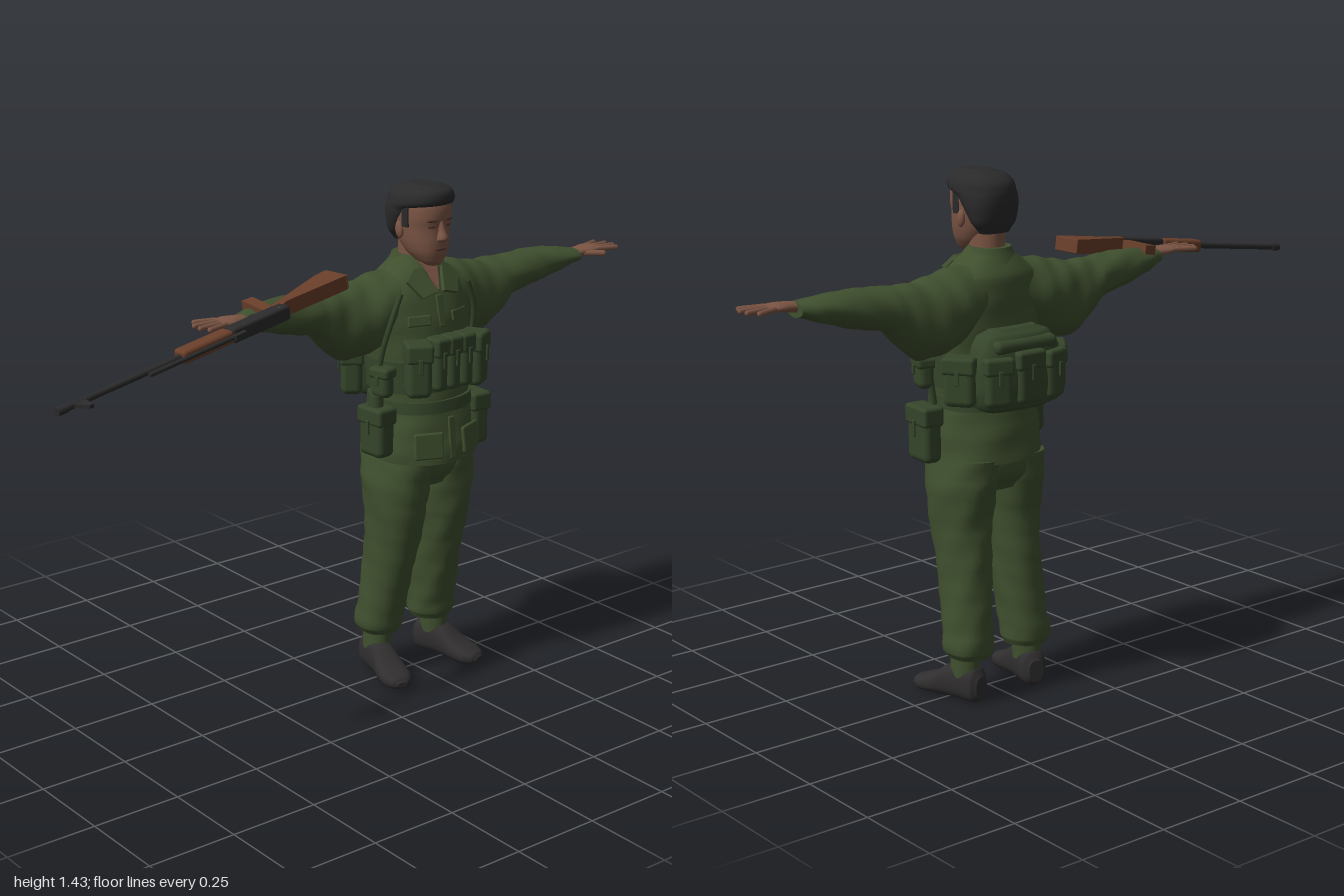
import * as THREE from 'three';
import { RoundedBoxGeometry } from 'three/addons/geometries/RoundedBoxGeometry.js';

const paint = (name, color) => Object.assign(new THREE.MeshStandardMaterial({ color }), { name });

// Smooth tube of cross-sections along an axis. Row: [t, aMin, aMax, bMin, bMax], t rising.
// Axis y: a = x, b = z. Axis x: a = z, b = y. Axis z: a = y, b = x.
function loft(axis, rows, { n = 24, sub = 4, p = 2, w = 0 } = {}) {
  const pos = [], idx = [], rings = [];
  const put = (t, a, b) => {
    pos.push(...(axis === 'y' ? [a, t, b] : axis === 'x' ? [t, b, a] : [b, a, t]));
    return pos.length / 3 - 1;
  };
  const at = (i) => rows[Math.min(Math.max(i, 0), rows.length - 1)];
  const spline = (i, f) => rows[0].map((_, k) => {
    const [q0, q1, q2, q3] = [at(i - 1)[k], at(i)[k], at(i + 1)[k], at(i + 2)[k]];
    if (k === 0) return q1 + (q2 - q1) * f;
    const m1 = (q2 - q0) / 2, m2 = (q3 - q1) / 2;
    return q1 + m1 * f + (3 * (q2 - q1) - 2 * m1 - m2) * f * f + (2 * (q1 - q2) + m1 + m2) * f * f * f;
  });
  const ring = ([t, a0, a1, b0, b1]) => Array.from({ length: n }, (_, j) => {
    const th = (j / n) * Math.PI * 2, c = Math.cos(th), s = Math.sin(th);
    const fold = 1 + w * Math.sin(t * 62 + 3 * th) * Math.sin(t * 27 - 2 * th + 1);
    const r = (v) => Math.sign(v) * Math.abs(v) ** (2 / p) * fold;
    return put(t, (a0 + a1) / 2 + ((a1 - a0) / 2) * r(c), (b0 + b1) / 2 + ((b1 - b0) / 2) * r(s));
  });
  const all = [];
  for (let i = 0; i < rows.length - 1; i++) for (let k = 0; k < sub; k++) all.push(spline(i, k / sub));
  all.push(at(rows.length - 1));
  all.forEach((r) => rings.push(ring(r)));
  for (let i = 0; i < rings.length - 1; i++) for (let j = 0; j < n; j++) {
    const k = (j + 1) % n, A = rings[i], B = rings[i + 1];
    idx.push(A[j], B[j], A[k], A[k], B[j], B[k]);
  }
  [all[0], all[all.length - 1]].forEach((r, end) => {
    const cap = ring(r), c = put(r[0], (r[1] + r[2]) / 2, (r[3] + r[4]) / 2);
    cap.forEach((v, j) => idx.push(c, ...(end ? [cap[(j + 1) % n], v] : [v, cap[(j + 1) % n]])));
  });
  const g = new THREE.BufferGeometry();
  g.setAttribute('position', new THREE.Float32BufferAttribute(pos, 3));
  g.setIndex(idx);
  g.computeVertexNormals();
  return g;
}

// Mirrored copy across x with corrected winding
function flip(geo) {
  const g = geo.clone().scale(-1, 1, 1);
  const a = g.index ? Array.from(g.index.array) : Array.from({ length: g.attributes.position.count }, (_, i) => i);
  for (let i = 0; i < a.length; i += 3) [a[i], a[i + 1]] = [a[i + 1], a[i]];
  g.setIndex(a);
  return g;
}

const box = (w, h, d, r = 0.008) => new RoundedBoxGeometry(w, h, d, 2, Math.min(r, w / 2.1, h / 2.1, d / 2.1));
const ball = (x, y, z) => new THREE.SphereGeometry(1, 16, 12).scale(x, y, z);
const place = (g, x, y, z, rx = 0, ry = 0, rz = 0) => g.rotateX(rx).rotateZ(rz).rotateY(ry).translate(x, y, z);

function plate(points, depth) {
  const s = new THREE.Shape(points.map(([x, y]) => new THREE.Vector2(x, y)));
  return new THREE.ExtrudeGeometry(s, { depth, bevelEnabled: false }).translate(0, 0, -depth / 2);
}

export function createModel() {
  const root = new THREE.Group(), body = new THREE.Group();
  root.name = 'fieldSoldier';
  body.name = 'body';
  body.position.x = 0.255;
  root.add(body);
  const cloth = paint('green cloth', 0x3f4f2e), web = paint('green webbing', 0x35452a);
  const skin = paint('skin', 0x7b5544), dark = paint('brow brown', 0x4a3129), hair = paint('black hair', 0x2a2a2b);
  const boot = paint('boot black', 0x302e2f), metal = paint('gun metal', 0x2b2b2c), wood = paint('wood', 0x6a3f2a);

  const add = (name, geo, mat, parent = body) => {
    const m = new THREE.Mesh(geo, mat);
    m.name = name;
    parent.add(m);
  };
  const pair = (name, geo, mat) => {
    add('left ' + name, geo, mat);
    add('right ' + name, flip(geo), mat);
  };

  // Jacket
  add('jacket', loft('y', [
    [0.67, -0.152, 0.152, -0.14, 0.158], [0.75, -0.147, 0.147, -0.132, 0.145], [0.83, -0.138, 0.138, -0.12, 0.128],
    [0.92, -0.145, 0.145, -0.115, 0.115], [1.02, -0.153, 0.153, -0.12, 0.105], [1.1, -0.158, 0.158, -0.12, 0.09],
    [1.16, -0.14, 0.14, -0.118, 0.068], [1.2, -0.088, 0.088, -0.1, 0.05], [1.235, -0.05, 0.05, -0.08, 0.03],
  ], { n: 40, p: 2.3, w: 0.02 }), cloth);
  add('waist belt', loft('y', [[0.812, -0.146, 0.146, -0.128, 0.138], [0.845, -0.144, 0.144, -0.126, 0.134]], { n: 40, p: 2.3, sub: 1 }), web);
  add('chest rig band', loft('y', [[0.87, -0.15, 0.15, -0.123, 0.126], [0.96, -0.156, 0.156, -0.125, 0.118]], { n: 40, p: 2.3, sub: 1 }), web);
  add('button placket', place(box(0.022, 0.12, 0.008), 0, 0.74, 0.149, -0.1), cloth);
  add('upper placket', place(box(0.022, 0.09, 0.008), 0, 1.09, 0.092, -0.2), cloth);
  pair('skirt pocket', place(box(0.085, 0.075, 0.012), 0.075, 0.725, 0.138, -0.1, 0.38), cloth);
  pair('chest pocket flap', place(box(0.07, 0.03, 0.01), 0.07, 1.07, 0.086, -0.2, 0.3), cloth);

  // Collar and open neck
  pair('collar flap', place(plate([[-0.045, -0.025], [0.005, -0.04], [0.04, 0.012], [0.012, 0.045], [-0.012, 0.045]], 0.012), 0.052, 1.165, 0.068, -0.55, 0.2), cloth);
  add('open neck', place(plate([[-0.034, 0.05], [0, -0.045], [0.034, 0.05]], 0.008), 0, 1.185, 0.057, -0.6), skin);
  add('collar stand', loft('y', [[1.17, -0.1, 0.1, -0.112, 0.03], [1.2, -0.075, 0.075, -0.1, 0.025], [1.235, -0.056, 0.056, -0.086, 0.01]]), cloth);

  // Sleeves with loose cloth under the armpit
  pair('sleeve', loft('x', [
    [0.05, -0.11, 0.06, 1.04, 1.2], [0.13, -0.125, 0.062, 0.99, 1.192], [0.19, -0.126, 0.045, 0.968, 1.18],
    [0.245, -0.118, 0.032, 0.965, 1.172], [0.295, -0.112, 0.028, 0.995, 1.17], [0.345, -0.105, 0.025, 1.05, 1.17],
    [0.45, -0.09, 0.022, 1.074, 1.175], [0.54, -0.073, 0.026, 1.1, 1.167], [0.595, -0.05, 0.026, 1.118, 1.158],
  ], { n: 28, w: 0.04 }), cloth);

  // Hands
  pair('palm', loft('x', [[0.57, -0.03, 0.015, 1.126, 1.156], [0.61, -0.031, 0.02, 1.132, 1.16], [0.645, -0.04, 0.03, 1.137, 1.161], [0.675, -0.036, 0.026, 1.141, 1.158]], { n: 16 }), skin);
  [[-0.032, 0.055, 0.32], [-0.014, 0.07, 0.1], [0.004, 0.072, -0.06], [0.02, 0.062, -0.25]].forEach(([z, len, yaw], i) =>
    pair('finger ' + (i + 1), place(new THREE.CapsuleGeometry(0.0075, len, 3, 8).rotateZ(Math.PI / 2).translate(len / 2, 0, 0), 0.665, 1.15, z, 0, yaw, -0.02), skin));
  pair('thumb', place(new THREE.CapsuleGeometry(0.0085, 0.05, 3, 8).rotateZ(Math.PI / 2).translate(0.025, 0, 0), 0.622, 1.143, 0.018, 0, -0.7), skin);

  // Trousers, ankles and boots
  add('trouser seat', loft('y', [[0.585, -0.1, 0.1, -0.09, 0.085], [0.63, -0.148, 0.148, -0.122, 0.115], [0.7, -0.142, 0.142, -0.125, 0.125]], { p: 2.3 }), cloth);
  pair('trouser leg', loft('y', [
    [0.125, 0.04, 0.152, -0.108, 0.008], [0.145, 0.03, 0.165, -0.118, 0.018], [0.2, 0.03, 0.16, -0.112, 0.03],
    [0.3, 0.024, 0.152, -0.105, 0.052], [0.4, 0.017, 0.15, -0.1, 0.077], [0.5, 0.008, 0.155, -0.097, 0.1],
    [0.6, 0, 0.16, -0.117, 0.115], [0.68, 0, 0.145, -0.13, 0.122],
  ], { n: 28, p: 2.2, w: 0.035 }), cloth);
  pair('ankle', loft('y', [[0.07, 0.07, 0.145, -0.09, 0], [0.14, 0.068, 0.143, -0.09, 0]]), cloth);
  pair('boot', place(loft('z', [
    [-0.105, 0.012, 0.075, -0.022, 0.022], [-0.09, 0, 0.098, -0.036, 0.036], [-0.045, 0, 0.108, -0.038, 0.038],
    [0, 0, 0.095, -0.038, 0.038], [0.045, 0, 0.064, -0.045, 0.045], [0.09, 0, 0.046, -0.044, 0.044],
    [0.115, 0.003, 0.036, -0.03, 0.03], [0.124, 0.01, 0.025, -0.015, 0.015],
  ], { p: 2.5 }), 0.118, 0, 0, 0, 0.22), boot);

  // Head
  add('neck', loft('y', [[1.16, -0.05, 0.05, -0.075, 0.05], [1.21, -0.045, 0.045, -0.07, 0.035], [1.28, -0.046, 0.046, -0.07, 0.04]]), skin);
  add('head', loft('y', [
    [1.213, -0.018, 0.018, 0.035, 0.074], [1.225, -0.036, 0.036, 0, 0.083], [1.25, -0.053, 0.053, -0.035, 0.09],
    [1.28, -0.063, 0.063, -0.06, 0.092], [1.32, -0.069, 0.069, -0.078, 0.09], [1.35, -0.071, 0.071, -0.083, 0.095],
    [1.39, -0.068, 0.068, -0.08, 0.088], [1.42, -0.04, 0.04, -0.04, 0.05],
  ], { n: 32, p: 2.2 }), skin);
  add('nose', loft('y', [[1.283, -0.014, 0.014, 0.08, 0.1], [1.292, -0.017, 0.017, 0.08, 0.113], [1.315, -0.01, 0.01, 0.08, 0.103], [1.34, -0.008, 0.008, 0.08, 0.095]], { n: 14 }), skin);
  add('mouth', place(ball(0.02, 0.004, 0.005), 0, 1.262, 0.09), dark);
  pair('eye', place(ball(0.012, 0.004, 0.004), 0.028, 1.325, 0.083, 0, 0.3), dark);
  pair('eyebrow', place(ball(0.017, 0.004, 0.005), 0.029, 1.342, 0.086, 0, 0.3), dark);
  pair('ear', place(ball(0.009, 0.024, 0.014), 0.071, 1.31, -0.002, -0.15), skin);

  // Hair
  add('hair', loft('y', [
    [1.272, -0.045, 0.045, -0.075, -0.025], [1.3, -0.066, 0.066, -0.086, -0.01], [1.34, -0.077, 0.077, -0.094, 0.02],
    [1.368, -0.08, 0.08, -0.096, 0.05], [1.384, -0.081, 0.081, -0.095, 0.096], [1.405, -0.077, 0.077, -0.088, 0.103],
    [1.423, -0.063, 0.063, -0.065, 0.096], [1.433, -0.035, 0.035, -0.03, 0.07],
  ], { n: 32, p: 2.2 }), hair);
  pair('sideburn', place(box(0.008, 0.06, 0.026, 0.003), 0.069, 1.35, 0.02), hair);

  // Pouches: soft box with a flap over the top
  const pouch = (name, x, y, z, w, h, d, yaw = 0) => {
    add(name, place(box(w, h, d, 0.018), x, y, z, 0, yaw), web);
    add(name + ' flap', place(box(w + 0.006, h * 0.36, d + 0.008, 0.01), x, y + h * 0.34, z, 0, yaw), web);
    const f = d / 2 + 0.006;
    add(name + ' buckle', place(box(0.012, h * 0.3, 0.006, 0.002), x + Math.sin(yaw) * f, y + h * 0.12, z + Math.cos(yaw) * f, 0, yaw), web);
  };
  [-0.046, 0, 0.046].forEach((x) => pouch('chest pouch', x, 0.955, 0.138, 0.044, 0.15, 0.05));
  for (const s of [-1, 1]) {
    pouch('rig pouch', s * 0.1, 0.945, 0.118, 0.07, 0.15, 0.07, s * 0.5);
    pouch('side pouch', s * 0.165, 0.905, 0.045, 0.06, 0.085, 0.045, s * 1.3);
    pouch('rear side pouch', s * 0.155, 0.905, -0.105, 0.085, 0.13, 0.06, s * 2.2);
    pouch('pack pocket', s * 0.087, 0.905, -0.165, 0.075, 0.13, 0.07, Math.PI - s * 0.3);
  }
  pouch('left hip pouch', 0.172, 0.742, 0.035, 0.098, 0.15, 0.055, 1.5);
  pouch('right hip canteen', -0.176, 0.765, 0.035, 0.09, 0.14, 0.06, -1.5);
  add('canteen cap', place(new THREE.CylinderGeometry(0.018, 0.022, 0.04, 14), -0.18, 0.85, 0.035), web);
  pair('side strap', new THREE.TubeGeometry(new THREE.CatmullRomCurve3([[0.15, 0.82, 0.02], [0.162, 0.95, 0.03], [0.15, 1.07, 0.06], [0.12, 1.15, 0.066]].map((v) => new THREE.Vector3(...v))), 20, 0.008, 6), web);

  // Back pack
  add('back pack', loft('y', [
    [0.82, -0.1, 0.1, -0.17, -0.08], [0.835, -0.128, 0.128, -0.194, -0.07], [0.9, -0.138, 0.138, -0.2, -0.07],
    [0.98, -0.128, 0.128, -0.192, -0.07], [1.02, -0.105, 0.105, -0.175, -0.08], [1.035, -0.07, 0.07, -0.15, -0.09],
  ], { n: 32, p: 3, w: 0.015 }), web);
  pouch('pack centre pocket', 0, 0.91, -0.18, 0.085, 0.14, 0.06, Math.PI);
  add('pack lid', place(box(0.2, 0.035, 0.1, 0.016), 0, 1.0, -0.145, -0.15), web);

  // Rifle: local x runs from muzzle to butt, local y is its upper side, turned to the front
  const rifle = new THREE.Group();
  rifle.name = 'rifle';
  const X = new THREE.Vector3(0.98, 0.138, -0.118).normalize();
  const Z = new THREE.Vector3().crossVectors(X, new THREE.Vector3(0, 0, 1)).normalize();
  const Y = new THREE.Vector3().crossVectors(Z, X);
  rifle.quaternion.setFromRotationMatrix(new THREE.Matrix4().makeBasis(X, Y, Z));
  rifle.position.set(-1, 1.065, 0.155);
  root.add(rifle);
  const part = (name, geo, mat) => add(name, geo, mat, rifle);
  const rod = (r, a, b, y) => new THREE.CylinderGeometry(r, r, b - a, 12).rotateZ(Math.PI / 2).translate((a + b) / 2, y, 0);
  part('barrel', rod(0.0085, 0, 0.6, 0), metal);
  part('muzzle ring', rod(0.011, 0, 0.03, 0), metal);
  part('gas tube', rod(0.0065, 0.275, 0.58, 0.021), metal);
  part('front sight', plate([[0.045, 0], [0.085, 0], [0.076, 0.048], [0.064, 0.048]], 0.01), metal);
  part('hand guard', place(box(0.17, 0.046, 0.036, 0.01), 0.478, -0.003, 0), wood);
  part('receiver', place(box(0.2, 0.042, 0.04, 0.008), 0.66, 0, 0), metal);
  part('rear sight', place(box(0.04, 0.014, 0.016, 0.003), 0.575, 0.026, 0), metal);
  part('trigger guard', place(new THREE.TorusGeometry(0.022, 0.004, 6, 16), 0.685, -0.03, 0), metal);
  part('pistol grip', plate([[0.705, -0.015], [0.74, -0.015], [0.765, -0.13], [0.73, -0.135]], 0.026), wood);
  part('stock', plate([[0.73, 0.012], [0.775, -0.008], [0.99, -0.004], [0.992, -0.085], [0.95, -0.082], [0.77, -0.032], [0.73, -0.02]], 0.04), wood);
  part('butt plate', place(box(0.008, 0.082, 0.04, 0.003), 0.994, -0.045, 0), wood);
  return root;
}
